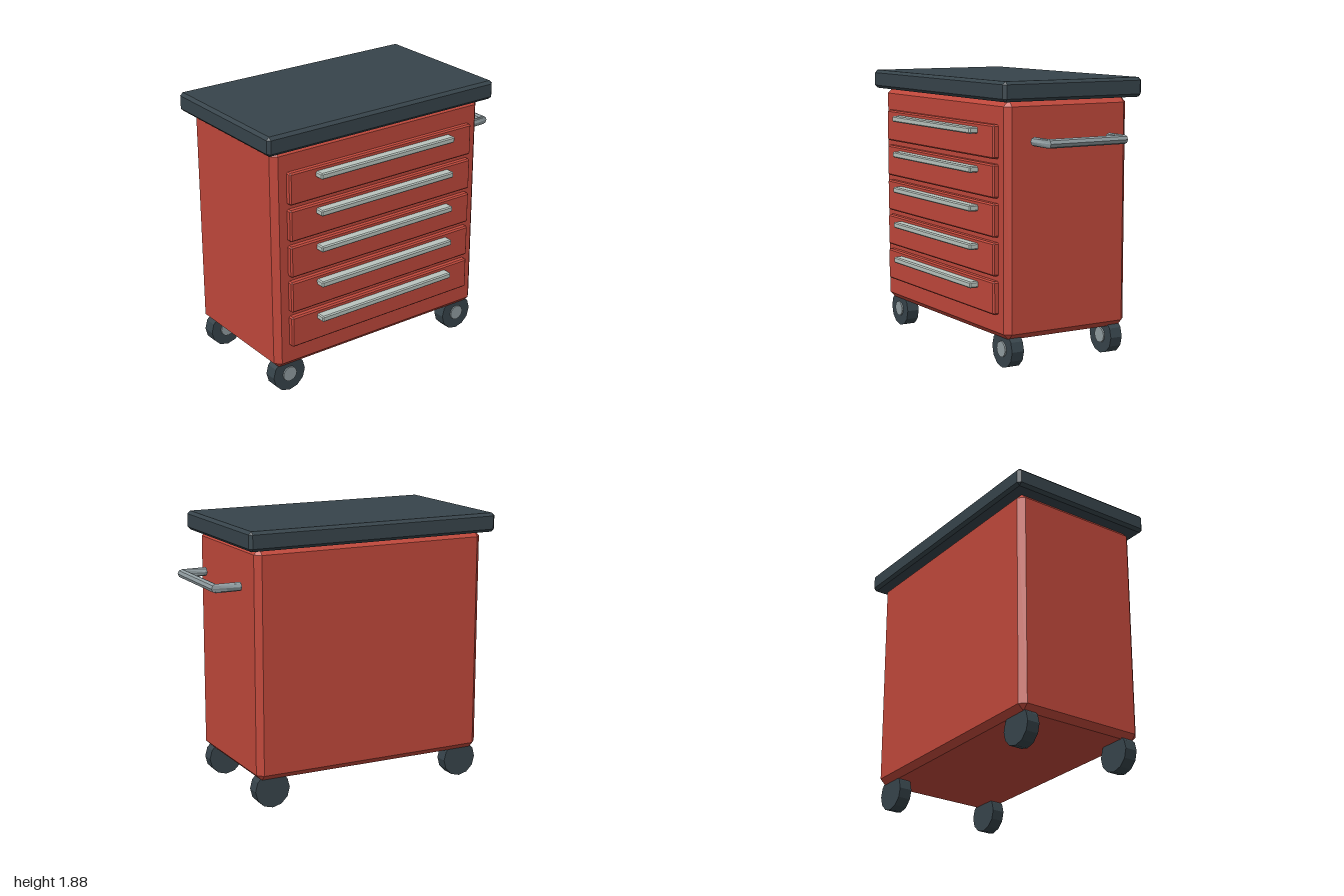
import * as THREE from 'three';
import { ConvexGeometry } from 'three/addons/geometries/ConvexGeometry.js';

const red = new THREE.MeshStandardMaterial({ color: 0xc0483b });
red.name = 'red paint';
const dark = new THREE.MeshStandardMaterial({ color: 0x37444b });
dark.name = 'dark rubber';
const pale = new THREE.MeshStandardMaterial({ color: 0xbac5bf });
pale.name = 'pale steel';
const grey = new THREE.MeshStandardMaterial({ color: 0x929ea2 });
grey.name = 'grey steel';

function flat(geometry) {
  const g = geometry.toNonIndexed();
  g.computeVertexNormals();
  return g;
}

function addMesh(parent, name, geometry, material) {
  const mesh = new THREE.Mesh(geometry, material);
  mesh.name = name;
  parent.add(mesh);
  return mesh;
}

// Box between two corners, with every edge and corner cut by c
function chamferBox([x0, y0, z0], [x1, y1, z1], c) {
  const half = [(x1 - x0) / 2, (y1 - y0) / 2, (z1 - z0) / 2];
  const points = [];
  for (const sx of [-1, 1]) for (const sy of [-1, 1]) for (const sz of [-1, 1]) {
    for (let full = 0; full < 3; full++) {
      const [x, y, z] = half.map((h, i) => (i === full ? h : h - c));
      points.push(new THREE.Vector3(sx * x, sy * y, sz * z));
    }
  }
  const g = new ConvexGeometry(points);
  g.translate((x0 + x1) / 2, (y0 + y1) / 2, (z0 + z1) / 2);
  return g;
}

// Bent bar from four eight-sided rings, capped at both ends
function pushHandleGeometry() {
  const sides = 8, r = 0.03, y = 1.487, zMid = -0.023, reach = 0.29, tilt = 0.22;
  const rings = [
    { x: 0.795, z: reach, ux: 0, uz: 1 },
    { x: 0.967, z: reach, ux: Math.cos(tilt), uz: Math.sin(tilt) },
    { x: 0.967, z: -reach, ux: Math.cos(tilt), uz: -Math.sin(tilt) },
    { x: 0.795, z: -reach, ux: 0, uz: -1 },
  ];
  const positions = [], index = [];
  for (const k of rings) {
    for (let j = 0; j < sides; j++) {
      const a = (j / sides) * Math.PI * 2, c = r * Math.cos(a);
      positions.push(k.x + c * k.ux, y + r * Math.sin(a), zMid + k.z + c * k.uz);
    }
  }
  for (let i = 0; i < rings.length - 1; i++) {
    for (let j = 0; j < sides; j++) {
      const a = i * sides + j, b = i * sides + (j + 1) % sides;
      index.push(a, a + sides, b, b, a + sides, b + sides);
    }
  }
  const last = (rings.length - 1) * sides;
  for (let j = 1; j < sides - 1; j++) {
    index.push(0, j, j + 1, last, last + j + 1, last + j);
  }
  const g = new THREE.BufferGeometry();
  g.setAttribute('position', new THREE.Float32BufferAttribute(positions, 3));
  g.setIndex(index);
  return flat(g);
}

export function createModel() {
  const model = new THREE.Group();
  model.name = 'toolCabinet';

  // Cabinet and worktop
  addMesh(model, 'cabinet', chamferBox([-0.933, 0.2, -0.493], [0.76, 1.75, 0.452], 0.04), red);
  addMesh(model, 'worktop', chamferBox([-1, 1.745, -0.555], [0.83, 1.875, 0.512], 0.02), dark);

  // Five drawers, each with a long pull
  for (let i = 0; i < 5; i++) {
    const drawer = new THREE.Group();
    drawer.name = 'drawer' + (i + 1);
    drawer.position.y = 0.36 + i * 0.2535;
    addMesh(drawer, 'drawerFront', chamferBox([-0.832, 0, 0.44], [0.66, 0.219, 0.491], 0.01), red);
    addMesh(drawer, 'drawerPull', chamferBox([-0.632, 0.149, 0.48], [0.464, 0.191, 0.553], 0.008), pale);
    model.add(drawer);
  }

  // Wheels, with the hub cap on the front face
  const tyre = flat(new THREE.CylinderGeometry(0.125, 0.125, 0.09, 12).rotateX(Math.PI / 2));
  const hub = flat(new THREE.CylinderGeometry(0.053, 0.053, 0.03, 12).rotateX(Math.PI / 2));
  for (const x of [-0.813, 0.643]) for (const z of [0.37, -0.41]) {
    const wheel = new THREE.Group();
    wheel.name = (z > 0 ? 'front' : 'back') + (x > 0 ? 'Left' : 'Right') + 'Wheel';
    wheel.position.set(x, 0.125, z);
    addMesh(wheel, 'tyre', tyre, dark);
    addMesh(wheel, 'hub', hub, grey).position.z = 0.04;
    model.add(wheel);
  }

  // Push handle on the left side
  addMesh(model, 'pushHandle', pushHandleGeometry(), grey);

  return model;
}
